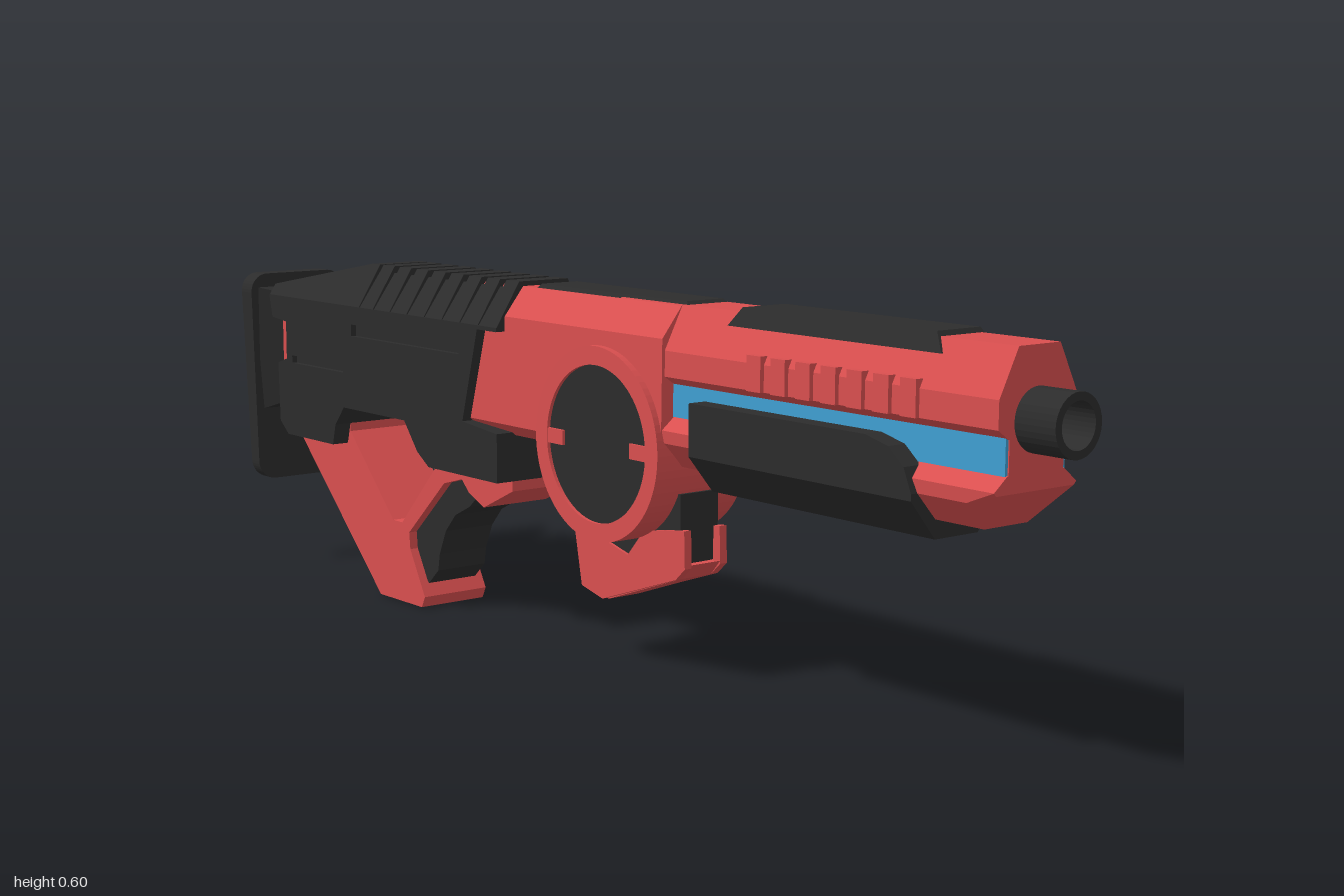
import * as THREE from 'three';
import { ConvexGeometry } from 'three/addons/geometries/ConvexGeometry.js';

const mat = (name, color) => {
  const m = new THREE.MeshStandardMaterial({ color });
  m.name = name;
  return m;
};

export function createModel() {
  const red = mat('red', 0xd94f4f);
  const black = mat('black', 0x2c2c2c);
  const blue = mat('blue', 0x409fd2);
  const model = new THREE.Group();

  const add = (name, geo, material) => {
    const m = new THREE.Mesh(geo, material);
    m.name = name;
    model.add(m);
    return m;
  };
  const box = (name, material, x0, x1, y0, y1, z0, z1) => {
    const g = new THREE.BoxGeometry(x1 - x0, y1 - y0, z1 - z0);
    g.translate((x0 + x1) / 2, (y0 + y1) / 2, (z0 + z1) / 2);
    return add(name, g, material);
  };
  // Side profile of [z, y] points, extruded across x0..x1
  const side = (name, material, pts, x0, x1, holes = []) => {
    const toV = (list) => list.map(([z, y]) => new THREE.Vector2(z, y));
    const s = new THREE.Shape(toV(pts));
    holes.forEach((h) => s.holes.push(new THREE.Path(toV(h))));
    const g = new THREE.ExtrudeGeometry(s, { depth: x1 - x0, bevelEnabled: false, curveSegments: 24 });
    g.rotateY(-Math.PI / 2).translate(x1, 0, 0);
    return add(name, g, material);
  };
  // Convex solid through mirrored cross-sections: [z, [[x, y], ...]]
  const hull = (name, material, sections) => {
    const p = [];
    sections.forEach(([z, pts]) => pts.forEach(([x, y]) => p.push(new THREE.Vector3(x, y, z), new THREE.Vector3(-x, y, z))));
    return add(name, new ConvexGeometry(p), material);
  };

  // Muzzle tube
  const ring = new THREE.Shape().absarc(0, 0, 0.045, 0, Math.PI * 2);
  ring.holes.push(new THREE.Path().absarc(0, 0, 0.033, 0, Math.PI * 2, true));
  const muzzle = new THREE.ExtrudeGeometry(ring, { depth: 0.075, bevelEnabled: false, curveSegments: 16 });
  add('muzzle', muzzle.translate(0, 0.495, 0.925), black);

  // Barrel housing: upper shroud, narrow core with blue strips, lower shroud
  const upper = [[0.04, 0.595], [0.075, 0.527], [0.075, 0.487], [0.055, 0.473]];
  hull('upperShroud', red, [[0.93, upper], [0.1, upper]]);
  box('barrelCore', red, -0.053, 0.053, 0.41, 0.49, 0.1, 0.93);
  const lower = [[0.055, 0.425], [0.08, 0.405], [0.078, 0.385], [0.042, 0.345]];
  hull('lowerShroud', red, [
    [0.93, [[0.055, 0.425], [0.08, 0.405], [0.076, 0.4]]],
    [0.88, lower], [0.1, lower],
  ]);
  for (const s of [-1, 1]) {
    const x = s * 0.055;
    box('blueStrip', blue, x - 0.003, x + 0.003, 0.424, 0.475, 0.2, 0.928);
    // Vent ribs
    for (let i = 0; i < 7; i++) {
      const z = 0.445 + i * 0.052;
      box('ventRib', red, s * 0.075 - 0.007, s * 0.075 + 0.007, 0.487, 0.54, z, z + 0.03);
    }
  }

  // Handguard with a rounded nose
  hull('handguard', black, [[0.79, 0.385], [0.775, 0.42], [0.745, 0.445], [0.7, 0.456], [0.325, 0.456]].map(
    ([z, top]) => [z, [[0.09, top], [0.09, 0.375], [0.042, 0.317]]]));

  // Top rails
  const rail = (z0, z1, y0, y1, w0, w1) => hull('topRail', black, [
    [z0, [[w0, y0]]], [z0 + 0.02, [[w1, y1]]],
    [z1 - 0.02, [[w1, y1]]], [z1, [[w0, y0]]],
  ]);
  rail(0.37, 0.805, 0.574, 0.602, 0.054, 0.042);
  rail(-0.135, 0.275, 0.583, 0.6, 0.046, 0.036);

  // Receiver
  const body = [[0.042, 0.593], [0.08, 0.545], [0.082, 0.365], [0.06, 0.345]];
  hull('receiver', red, [[0.25, body], [-0.3, body]]);

  // Side drum
  const drum = (name, material, r, half) => {
    const g = new THREE.CylinderGeometry(r, r, half * 2, 40);
    add(name, g.rotateZ(Math.PI / 2).translate(0, 0.365, 0.098), material);
  };
  drum('drumFace', black, 0.13, 0.086);
  const rim = new THREE.Shape().absarc(0.098, 0.365, 0.156, 0, Math.PI * 2);
  rim.holes.push(new THREE.Path().absarc(0.098, 0.365, 0.126, 0, Math.PI * 2, true));
  const rimGeo = new THREE.ExtrudeGeometry(rim, { depth: 0.184, bevelEnabled: false, curveSegments: 40 });
  add('drumRim', rimGeo.rotateY(-Math.PI / 2).translate(0.092, 0, 0), red);
  for (const z of [-0.012, 0.208]) {
    box('drumTab', red, -0.091, 0.091, 0.353, 0.377, z - 0.025, z + 0.025);
  }

  // Magazine: dark core, red cheeks and red base
  side('magazineCore', black, [[0.245, 0.3], [0.245, 0.19], [0.05, 0.12], [-0.01, 0.14], [-0.03, 0.3]], -0.038, 0.038);
  const cheek = [[0.26, 0.245], [0.262, 0.185], [0.24, 0.165], [0.055, 0.102], [0.0, 0.115],
    [-0.025, 0.24], [0, 0.215], [0.12, 0.185], [0.16, 0.23], [0.215, 0.24]];
  side('magazineCheek', red, cheek, 0.029, 0.043);
  side('magazineCheek', red, cheek, -0.043, -0.029);
  side('magazineBase', red, [[0.262, 0.19], [0.24, 0.165], [0.055, 0.1], [0.0, 0.113], [-0.02, 0.2], [0.1, 0.17]], -0.03, 0.03);

  // Stock: inner core and slotted outer skins
  const stock = [[-0.16, 0.527], [-0.16, 0.52], [-0.215, 0.52], [-0.26, 0.36], [-0.16, 0.35], [-0.16, 0.267],
    [-0.365, 0.267], [-0.4, 0.29], [-0.44, 0.34], [-0.64, 0.34], [-0.67, 0.305], [-0.68, 0.267],
    [-0.84, 0.267], [-0.868, 0.29], [-0.872, 0.4], [-0.84, 0.41], [-0.84, 0.48], [-0.89, 0.485], [-0.9, 0.527]];
  const slot = (z0, z1, y0, y1) => [[z0, y0], [z0, y1], [z1, y1], [z1, y0]];
  const slots = [slot(-0.27, -0.61, 0.473, 0.494), slot(-0.64, -0.82, 0.404, 0.418)];
  side('stockCore', black, stock, -0.088, 0.088);
  side('stockSkin', black, stock, 0.087, 0.098, slots);
  side('stockSkin', black, stock, -0.098, -0.087, slots);

  // Stock roof with cross ribs and sloping rear
  const roof = [[0.096, 0.525], [0.05, 0.589]];
  const crest = [[0.098, 0.525], [0.05, 0.601]];
  hull('stockRoof', black, [[-0.16, roof], [-0.62, roof]]);
  for (let i = 0; i < 8; i++) {
    const z = -0.16 - i * 0.054;
    hull('stockRib', black, [[z, crest], [z - 0.036, crest]]);
  }
  hull('stockRear', black, [[-0.585, crest], [-0.61, crest], [-0.9, [[0.098, 0.525], [0.084, 0.546]]]]);

  // Lower frame: guard and diagonal strut
  side('lowerFrame', red, [[-0.16, 0.268], [-0.395, 0.268], [-0.395, 0.255], [-0.5, 0.145], [-0.53, 0.145],
    [-0.67, 0.29], [-0.67, 0.305], [-0.76, 0.3], [-0.868, 0.284], [-0.575, 0], [-0.44, 0], [-0.43, 0.02],
    [-0.475, 0.1], [-0.478, 0.13], [-0.365, 0.235], [-0.31, 0.25], [-0.29, 0.23], [-0.245, 0.21], [-0.16, 0.25]], -0.066, 0.066);

  // Curved grip
  side('grip', black, [[-0.27, 0.235], [-0.31, 0.2], [-0.355, 0.178], [-0.385, 0.145], [-0.405, 0.1], [-0.41, 0.07],
    [-0.44, 0.042], [-0.475, 0.07], [-0.5, 0.135], [-0.37, 0.255]], -0.05, 0.05);

  // Butt joint and pad
  side('buttJoint', red, [[-0.83, 0.51], [-0.925, 0.51], [-0.94, 0.46], [-0.94, 0.32], [-0.83, 0.32]], -0.055, 0.055);
  hull('buttNeck', black, [
    [-0.925, [[0.055, 0.525], [0.055, 0.315]]],
    [-0.955, [[0.09, 0.535], [0.09, 0.3]]],
  ]);
  const w = 0.102, y0 = 0.165, y1 = 0.56, r = 0.035;
  const pad = new THREE.Shape();
  pad.absarc(w - r, y1 - r, r, 0, Math.PI / 2);
  pad.absarc(-w + r, y1 - r, r, Math.PI / 2, Math.PI);
  pad.absarc(-w + r, y0 + r, r, Math.PI, Math.PI * 1.5);
  pad.absarc(w - r, y0 + r, r, Math.PI * 1.5, Math.PI * 2);
  const padGeo = new THREE.ExtrudeGeometry(pad, { depth: 1, bevelEnabled: false, curveSegments: 5 });
  const p = padGeo.attributes.position;
  for (let i = 0; i < p.count; i++) {
    const t = (p.getY(i) - y0) / (y1 - y0);
    p.setZ(i, p.getZ(i) > 0.5 ? -0.945 - 0.017 * t : -0.972 - 0.028 * t);
  }
  padGeo.computeVertexNormals();
  add('buttPad', padGeo, black);

  return model;
}
